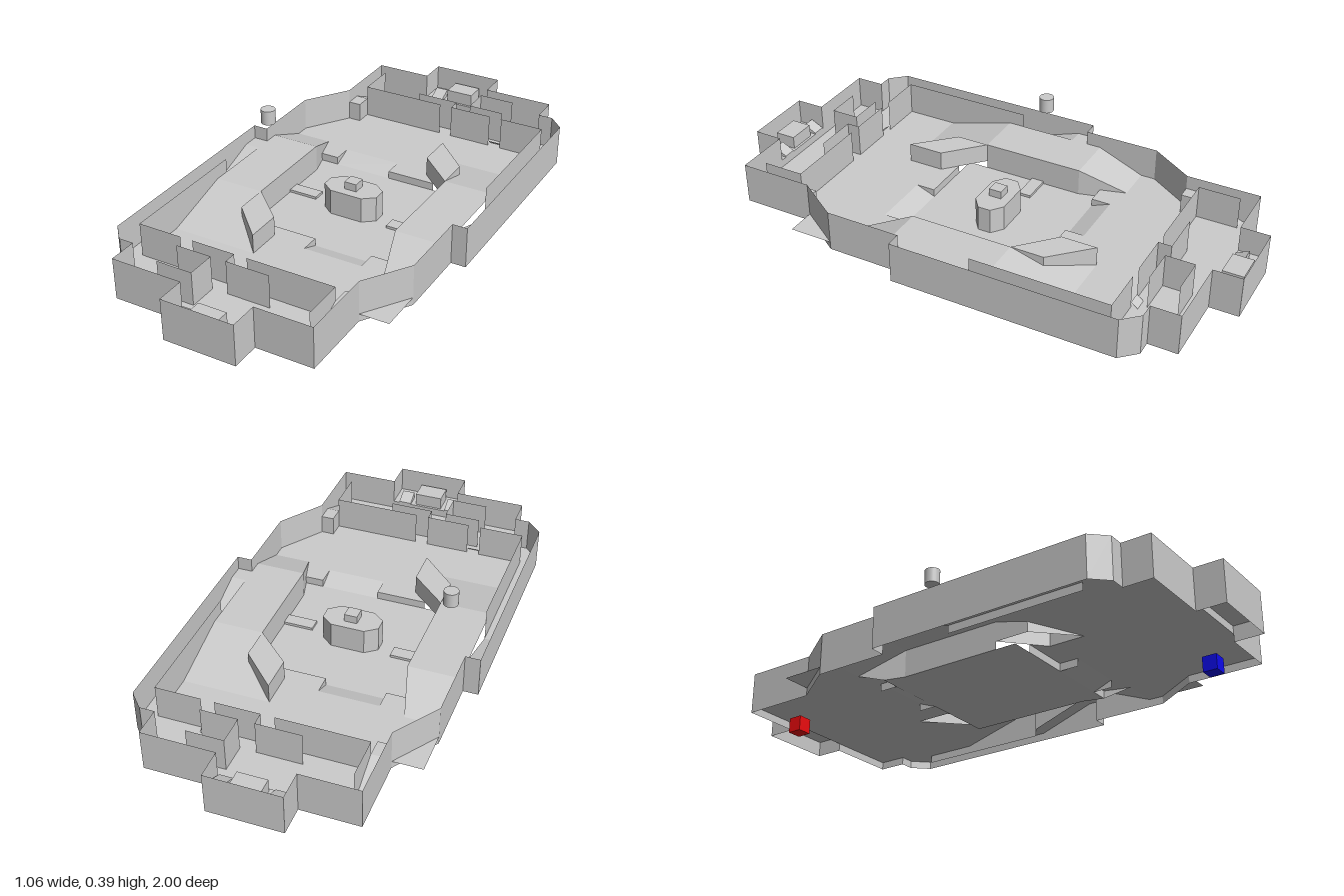
import * as THREE from 'three';

const BASE = 0.06, FLOOR = 0.09, DECK = 0.165, TOP = 0.22;

export function createModel() {
  const model = new THREE.Group();
  const grey = new THREE.MeshStandardMaterial({ color: 0xcccccc, flatShading: true, side: THREE.DoubleSide });

  const add = (parent, name, geometry, material = grey) => {
    const mesh = new THREE.Mesh(geometry, material);
    mesh.name = name;
    parent.add(mesh);
    return mesh;
  };

  const triangles = (positions) => {
    const g = new THREE.BufferGeometry();
    g.setAttribute('position', new THREE.Float32BufferAttribute(positions, 3));
    g.computeVertexNormals();
    return g;
  };

  // Sheet over an x,z outline; height(x, z) shapes ramps, an optional skirt drops to a level
  const sheet = (parent, name, outline, height, skirt = null) => {
    const pts = outline.map(([x, z]) => new THREE.Vector2(x, -z));
    if (THREE.ShapeUtils.isClockWise(pts)) pts.reverse();
    const y = typeof height === 'number' ? () => height : height;
    const at = (p) => [p.x, y(p.x, -p.y), -p.y];
    const pos = [];
    for (const f of THREE.ShapeUtils.triangulateShape(pts, [])) for (const i of f) pos.push(...at(pts[i]));
    if (skirt !== null) pts.forEach((p, i) => {
      const q = pts[(i + 1) % pts.length];
      const a = at(p), b = at(q), c = [q.x, skirt, -q.y], d = [p.x, skirt, -p.y];
      pos.push(...a, ...d, ...c, ...a, ...c, ...b);
    });
    return add(parent, name, triangles(pos));
  };

  // Upright thin wall following an x,z path
  const wall = (parent, name, path, low = BASE, high = TOP) => {
    const pos = [];
    for (let i = 0; i + 1 < path.length; i++) {
      const [ax, az] = path[i], [bx, bz] = path[i + 1];
      pos.push(ax, high, az, bx, high, bz, bx, low, bz, ax, high, az, bx, low, bz, ax, low, az);
    }
    return add(parent, name, triangles(pos));
  };

  const rect = (x0, x1, z0, z1) => [[x0, z0], [x1, z0], [x1, z1], [x0, z1]];
  const slope = (z0, y0, z1, y1) => (x, z) => y0 + (y1 - y0) * (z - z0) / (z1 - z0);

  // One half of the arena; the other is the same turned half a circle
  const half = (name) => {
    const g = new THREE.Group();
    g.name = name;

    wall(g, 'outerWall', [[-0.14, -1], [0.14, -1], [0.14, -0.89], [0.417, -0.89], [0.417, -0.78],
      [0.473, -0.78], [0.53, -0.72], [0.53, 0.143], [0.473, 0.143], [0.473, 0.435],
      [0.36, 0.605], [0.36, 0.89], [0.14, 0.89], [0.14, 1]]);

    // Floors and ramps
    sheet(g, 'endFloor', [[-0.473, -0.38], [-0.33, -0.38], [-0.302, -0.28], [-0.23, -0.28],
      [-0.23, -0.355], [0, -0.355], [0, -0.28], [0.194, -0.28], [0.14, -0.33], [0.14, -0.47],
      [0.473, -0.47], [0.473, -0.78], [0.417, -0.78], [0.417, -0.89], [-0.36, -0.89],
      [-0.36, -0.605], [-0.473, -0.605]], FLOOR);
    wall(g, 'pitEdge', [[-0.302, -0.28], [-0.23, -0.28], [-0.23, -0.355]], BASE, FLOOR);
    wall(g, 'pitEdge', [[0, -0.355], [0, -0.28], [0.194, -0.28]], BASE, FLOOR);
    sheet(g, 'pitRamp', rect(-0.23, 0, -0.355, -0.28), slope(-0.355, FLOOR, -0.28, BASE));
    sheet(g, 'sideDeck', rect(0.28, 0.473, -0.2, 0.2), DECK);
    wall(g, 'deckEdge', [[0.28, -0.2], [0.28, 0.2]], BASE, DECK);
    sheet(g, 'wideDeckRamp', [[0.14, -0.47], [0.473, -0.47], [0.473, -0.2], [0.28, -0.2], [0.28, -0.33]],
      slope(-0.47, FLOOR, -0.2, DECK));
    sheet(g, 'narrowDeckRamp', [[0.28, 0.2], [0.473, 0.2], [0.473, 0.38], [0.33, 0.38]],
      slope(0.2, DECK, 0.38, FLOOR));
    // Slanted side of the narrow ramp
    add(g, 'narrowRampSide', triangles([
      0.28, DECK, 0.2, 0.28, BASE, 0.2, 0.33, FLOOR, 0.38,
      0.28, BASE, 0.2, 0.302, BASE, 0.28, 0.33, FLOOR, 0.38]));
    sheet(g, 'slantedBarrier', [[0.14, -0.47], [0.28, -0.33], [0.28, -0.2], [0.14, -0.33]], DECK, FLOOR);
    sheet(g, 'pitStep', rect(0.165, 0.28, 0, 0.05), 0.07, BASE);

    // Side corridor behind its own wall
    sheet(g, 'corridorFloor', [[0.473, -0.78], [0.53, -0.72], [0.53, -0.14], [0.473, -0.14]], FLOOR);
    sheet(g, 'corridorRamp', rect(0.473, 0.53, -0.14, 0.08), slope(-0.14, FLOOR, 0.08, DECK));
    sheet(g, 'corridorLanding', rect(0.473, 0.53, 0.08, 0.143), DECK);
    wall(g, 'corridorWall', [[0.473, -0.67], [0.473, -0.14]]);

    // End room walls with doorways
    wall(g, 'roomWall', [[-0.31, -0.83], [-0.31, -0.67], [0.03, -0.67]], FLOOR);
    wall(g, 'roomWall', [[-0.09, -0.72], [0.08, -0.72], [0.08, -0.67], [0.25, -0.67]], FLOOR);
    wall(g, 'roomWall', [[0.3, -0.67], [0.473, -0.67]], FLOOR);
    wall(g, 'roomScreen', [[0.28, -0.83], [0.14, -0.83], [0.14, -0.72], [0.28, -0.72]], FLOOR);
    sheet(g, 'doorStep', rect(0.25, 0.3, -0.695, -0.67), slope(-0.695, FLOOR, -0.67, 0.11));
    sheet(g, 'roomRamp', rect(-0.36, -0.31, -0.83, -0.67), slope(-0.83, FLOOR, -0.67, DECK), FLOOR);
    sheet(g, 'roomLedge', rect(-0.36, -0.31, -0.67, -0.605), DECK, FLOOR);

    // End alcove with block and two small ramps
    sheet(g, 'alcoveFloor', rect(-0.14, 0.14, -1, -0.89), 0.12, FLOOR);
    sheet(g, 'alcoveBlock', rect(-0.045, 0.065, -0.98, -0.9), 0.17, 0.12);
    for (const x of [-0.09, 0.11])
      sheet(g, 'alcoveRamp', rect(x - 0.025, x + 0.025, -0.94, -0.89), slope(-0.94, 0.15, -0.89, 0.125), 0.12);

    model.add(g);
    return g;
  };
  half('backHalf');
  half('frontHalf').rotation.y = Math.PI;

  // Sunken centre with its pedestal
  sheet(model, 'centrePit', [[-0.302, -0.28], [0.28, -0.28], [0.28, 0.2], [0.302, 0.28],
    [-0.28, 0.28], [-0.28, -0.2]], BASE);
  sheet(model, 'pedestal', [[-0.11, -0.025], [-0.065, -0.06], [0.065, -0.06], [0.11, -0.025],
    [0.11, 0.025], [0.065, 0.06], [-0.065, 0.06], [-0.11, 0.025]], 0.16, BASE);
  add(model, 'pedestalCap', new THREE.BoxGeometry(0.05, 0.03, 0.05)).position.set(0, 0.175, 0);

  // Floating cylinder and the two coloured markers
  const smooth = new THREE.MeshStandardMaterial({ color: 0xcccccc });
  add(model, 'floatingCylinder', new THREE.CylinderGeometry(0.028, 0.028, 0.056, 24), smooth)
    .position.set(-0.375, 0.362, -0.01);
  const cube = new THREE.BoxGeometry(0.055, 0.058, 0.055);
  add(model, 'redMarker', cube, new THREE.MeshStandardMaterial({ color: 0xee0a0e })).position.set(-0.208, 0.029, -0.78);
  add(model, 'blueMarker', cube, new THREE.MeshStandardMaterial({ color: 0x0e0aee })).position.set(0.207, 0.029, 0.775);

  return model;
}
